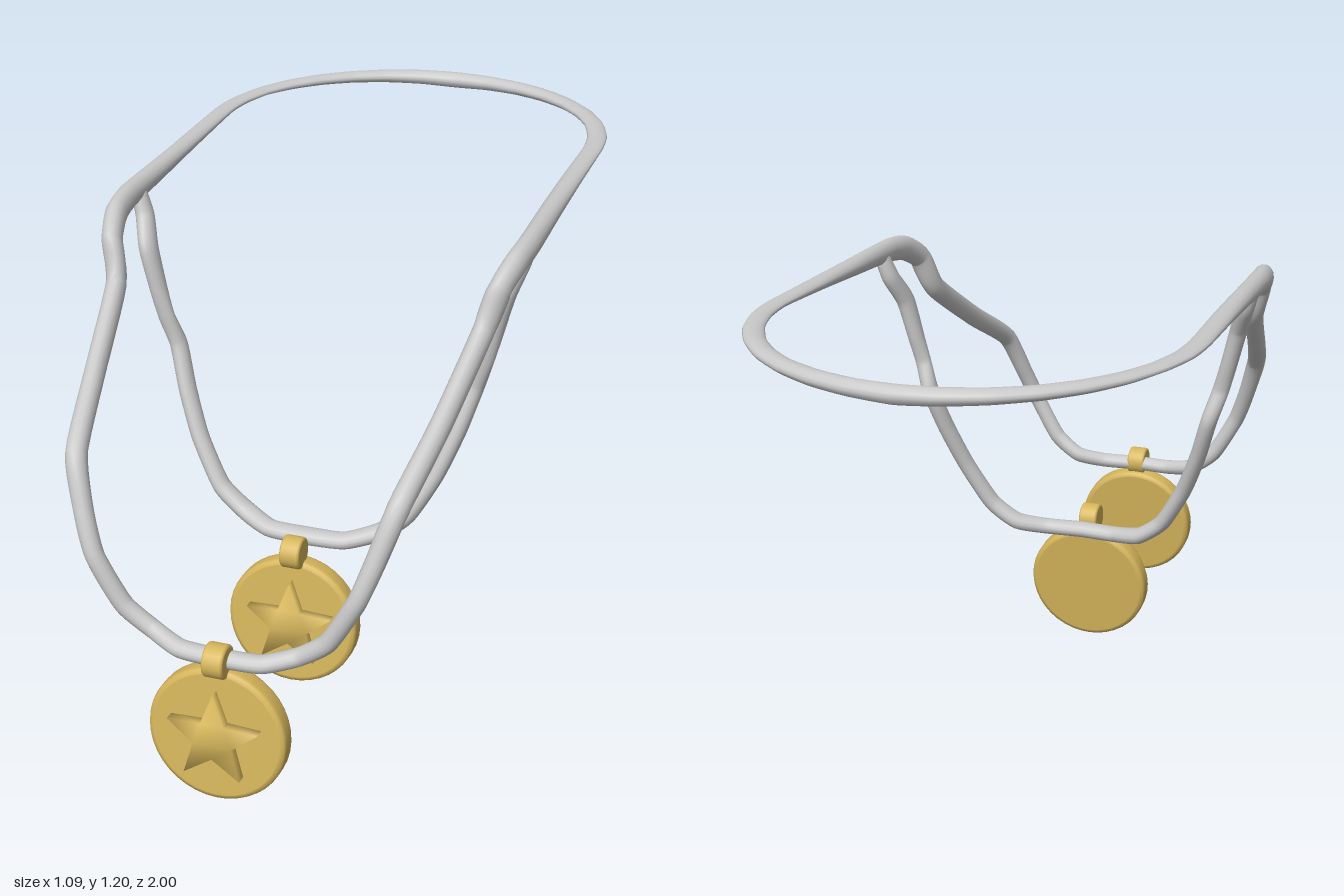
import * as THREE from 'three';
import { mergeVertices } from 'three/addons/utils/BufferGeometryUtils.js';

const cordMaterial = new THREE.MeshStandardMaterial({ color: 0xc9c9c9 });
cordMaterial.name = 'silver cord';
const goldMaterial = new THREE.MeshStandardMaterial({ color: 0xd6b65c });
goldMaterial.name = 'gold';

// Sweeps an elliptical section along points [x, y, z, halfWidth, halfHeight].
function sweep(points, closed, reference, perSegment = 6, sides = 14) {
  const path = new THREE.CatmullRomCurve3(
    points.map(p => new THREE.Vector3(p[0], p[1], p[2])), closed, 'catmullrom', 0.3);
  const sizes = new THREE.CatmullRomCurve3(
    points.map(p => new THREE.Vector3(p[3], p[4], 0)), closed, 'catmullrom', 0.3);
  const steps = perSegment * (closed ? points.length : points.length - 1);
  const rings = closed ? steps : steps + 1;
  const positions = [], index = [];
  for (let i = 0; i < rings; i++) {
    const t = i / steps;
    const c = path.getPoint(t), s = sizes.getPoint(t), tangent = path.getTangent(t);
    const side = new THREE.Vector3().crossVectors(tangent, reference).normalize();
    const up = new THREE.Vector3().crossVectors(side, tangent);
    for (let j = 0; j < sides; j++) {
      const a = j / sides * Math.PI * 2;
      const p = c.clone().addScaledVector(side, Math.cos(a) * s.x).addScaledVector(up, Math.sin(a) * s.y);
      positions.push(p.x, p.y, p.z);
    }
  }
  for (let i = 0; i < steps; i++) {
    const n = (i + 1) % rings;
    for (let j = 0; j < sides; j++) {
      const k = (j + 1) % sides;
      const a = i * sides + j, b = i * sides + k, c = n * sides + j, d = n * sides + k;
      index.push(a, c, b, b, c, d);
    }
  }
  const geometry = new THREE.BufferGeometry();
  geometry.setAttribute('position', new THREE.Float32BufferAttribute(positions, 3));
  geometry.setIndex(index);
  geometry.computeVertexNormals();
  return geometry;
}

const mirror = p => [-p[0], ...p.slice(1)];

function addMesh(parent, name, geometry, material) {
  const mesh = new THREE.Mesh(geometry, material);
  mesh.name = name;
  parent.add(mesh);
  return mesh;
}

// Puffy-looking five-pointed star with smoothed normals
function starGeometry(radius, depth) {
  const shape = new THREE.Shape();
  for (let i = 0; i < 10; i++) {
    const r = i % 2 ? radius * 0.42 : radius;
    const a = Math.PI / 2 + i * Math.PI / 5;
    shape[i ? 'lineTo' : 'moveTo'](Math.cos(a) * r, Math.sin(a) * r);
  }
  shape.closePath();
  let geometry = new THREE.ExtrudeGeometry(shape, { depth, bevelEnabled: false });
  geometry.deleteAttribute('normal');
  geometry.deleteAttribute('uv');
  geometry = mergeVertices(geometry);
  geometry.computeVertexNormals();
  return geometry;
}

// Revolved disc with softened rims, its axis along local y
function roundedDisc(radius, half, bevel, segments) {
  const profile = [[0, -half], [radius - bevel * 1.2, -half], [radius - bevel, -half],
    [radius - bevel * 0.3, -half + bevel * 0.3], [radius, -half + bevel],
    [radius, half - bevel], [radius - bevel * 0.3, half - bevel * 0.3],
    [radius - bevel, half], [radius - bevel * 1.2, half], [0, half]];
  return new THREE.LatheGeometry(profile.map(p => new THREE.Vector2(...p)), segments);
}

function medal(name, z) {
  const group = new THREE.Group();
  group.name = name;
  // Tilted pendant: disc and raised star
  const pendant = new THREE.Group();
  pendant.name = 'pendant';
  pendant.position.set(0, 0.175, z);
  pendant.rotation.x = -0.1;
  addMesh(pendant, 'disc', roundedDisc(0.17, 0.027, 0.012, 40).rotateX(Math.PI / 2), goldMaterial);
  const star = addMesh(pendant, 'star', starGeometry(0.117, 0.035), goldMaterial);
  star.position.set(0, 0, 0.018);
  group.add(pendant);
  // Bail that hangs the pendant from the cord
  const bail = addMesh(group, 'bail', roundedDisc(0.041, 0.026, 0.006, 24).rotateZ(Math.PI / 2), goldMaterial);
  bail.position.set(0, 0.369, z + 0.002);
  return group;
}

export function createModel() {
  const model = new THREE.Group();
  model.name = 'medalNecklace';

  // Neck loop with the long front strand: half of it, front centre to back
  const half = [
    [0, 0.366, 0.925, 0.025, 0.021],
    [0.1, 0.366, 0.918, 0.025, 0.021],
    [0.18, 0.386, 0.89, 0.023, 0.022],
    [0.25, 0.44, 0.892, 0.023, 0.023],
    [0.315, 0.555, 0.892, 0.023, 0.023],
    [0.35, 0.65, 0.865, 0.024, 0.024],
    [0.387, 0.77, 0.81, 0.026, 0.027],
    [0.423, 0.88, 0.625, 0.025, 0.029],
    [0.458, 1.02, 0.41, 0.025, 0.031],
    [0.484, 1.115, 0.365, 0.026, 0.032],
    [0.503, 1.155, 0.295, 0.027, 0.034],
    [0.512, 1.168, 0.2, 0.027, 0.031],
    [0.513, 1.176, 0.0, 0.027, 0.024],
    [0.516, 1.184, -0.22, 0.027, 0.016],
  ];
  for (let i = 0; i <= 8; i++) {
    const a = i / 8 * Math.PI / 2, k = Math.max(0, (i - 2) / 6);
    const h = 0.01 + 0.012 * k;
    half.push([0.52 * Math.cos(a), 1.2 - h, -0.455 - 0.52 * Math.sin(a), 0.026, h]);
  }
  half[half.length - 1][0] = 0;
  const loop = [...half, ...half.slice(1, -1).reverse().map(mirror)];
  addMesh(model, 'neckLoop', sweep(loop, true, new THREE.Vector3(0, 1, 0)), cordMaterial);

  // Shorter inner strand joined to the loop at both sides
  const inner = [
    [0.1, 0.366, 0.34, 0.021, 0.028],
    [0.18, 0.386, 0.305, 0.022, 0.03],
    [0.25, 0.44, 0.292, 0.022, 0.028],
    [0.315, 0.555, 0.265, 0.022, 0.026],
    [0.36, 0.67, 0.232, 0.022, 0.028],
    [0.393, 0.78, 0.202, 0.022, 0.026],
    [0.418, 0.86, 0.215, 0.022, 0.017],
    [0.437, 0.93, 0.213, 0.022, 0.024],
    [0.463, 1.035, 0.205, 0.023, 0.032],
    [0.487, 1.105, 0.165, 0.023, 0.027],
    [0.505, 1.16, 0.155, 0.02, 0.022],
  ];
  const strand = [...inner.map(mirror).reverse(), [0, 0.366, 0.347, 0.021, 0.03], ...inner];
  addMesh(model, 'innerStrand', sweep(strand, false, new THREE.Vector3(0, 0, 1)), cordMaterial);

  model.add(medal('frontMedal', 0.938), medal('innerMedal', 0.435));
  return model;
}
